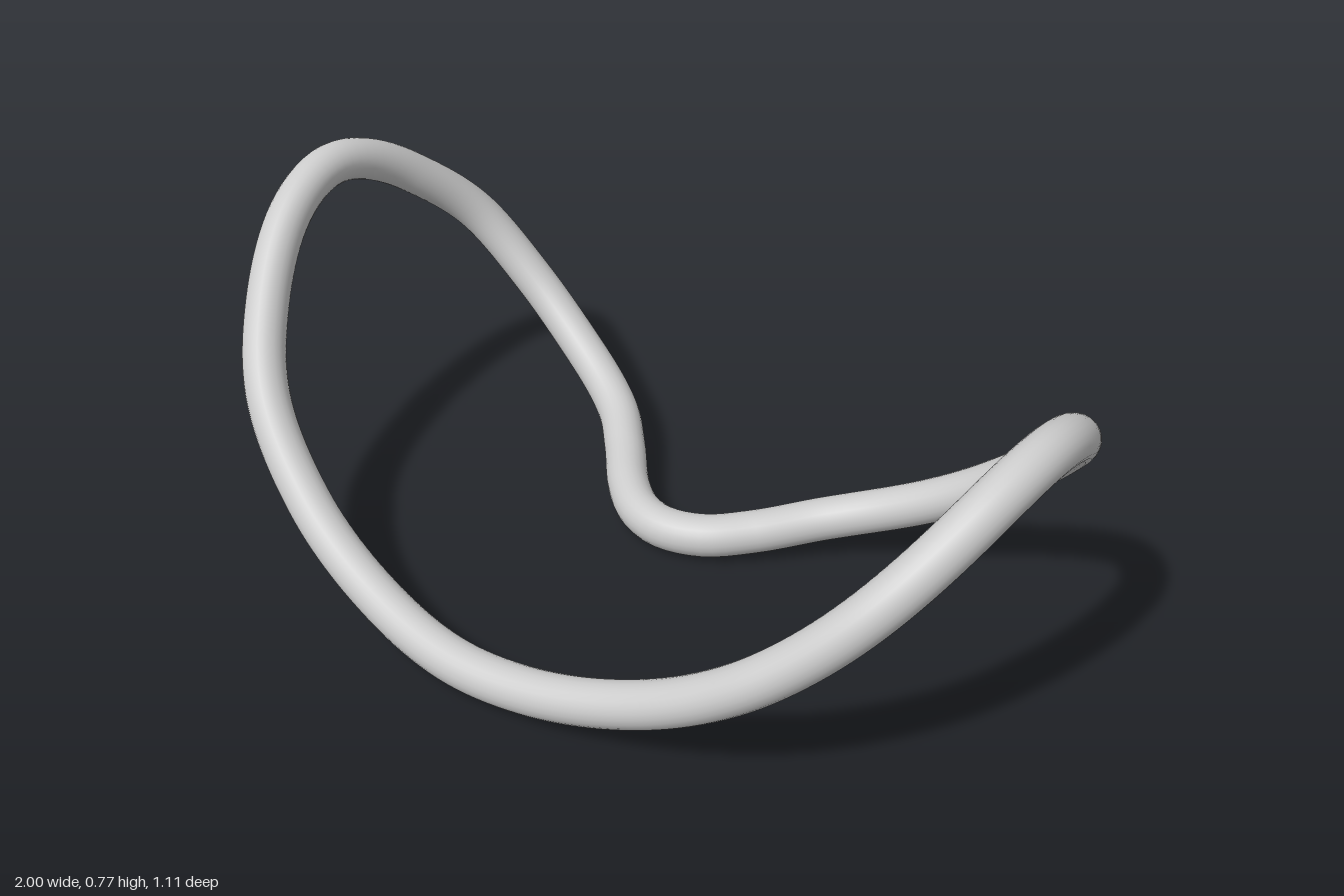
import * as THREE from 'three';

// Plan of the loop's centre line as [x, z], going round once
const PLAN = [
  [0, -0.165], [0.1, -0.195], [0.19, -0.27], [0.31, -0.385], [0.45, -0.455],
  [0.7, -0.5], [0.83, -0.445], [0.915, -0.29], [0.948, -0.1], [0.92, 0.1],
  [0.83, 0.265], [0.68, 0.37], [0.56, 0.412], [0.35, 0.454], [0.15, 0.486],
  [-0.03, 0.5], [-0.265, 0.482], [-0.53, 0.436], [-0.73, 0.36], [-0.84, 0.25],
  [-0.92, 0.1], [-0.95, -0.09], [-0.915, -0.3], [-0.83, -0.455],
  [-0.69, -0.505], [-0.5, -0.485], [-0.355, -0.425], [-0.255, -0.335],
  [-0.16, -0.235], [-0.08, -0.18],
];
const TUBE_RADIUS = 0.05;
const BEND_RADIUS = 1.02;

// Height of the centre line: the flat plan is bent up along a circular arc
const bendHeight = (x) =>
  TUBE_RADIUS + 0.003 + BEND_RADIUS - Math.sqrt(BEND_RADIUS ** 2 - (x - 0.01) ** 2);

class BentLoop extends THREE.Curve {
  constructor() {
    super();
    this.plan = new THREE.CatmullRomCurve3(
      PLAN.map(([x, z]) => new THREE.Vector3(x, 0, z)), true, 'centripetal');
  }
  getPoint(t, target = new THREE.Vector3()) {
    this.plan.getPoint(t, target);
    target.y = bendHeight(target.x);
    return target;
  }
}

export function createModel() {
  const group = new THREE.Group();
  group.name = 'bentLoop';

  // One closed round tube
  const rim = new THREE.Mesh(
    new THREE.TubeGeometry(new BentLoop(), 240, TUBE_RADIUS, 24, true),
    new THREE.MeshStandardMaterial({ color: 0xcccccc }));
  rim.name = 'rimTube';
  group.add(rim);
  return group;
}
